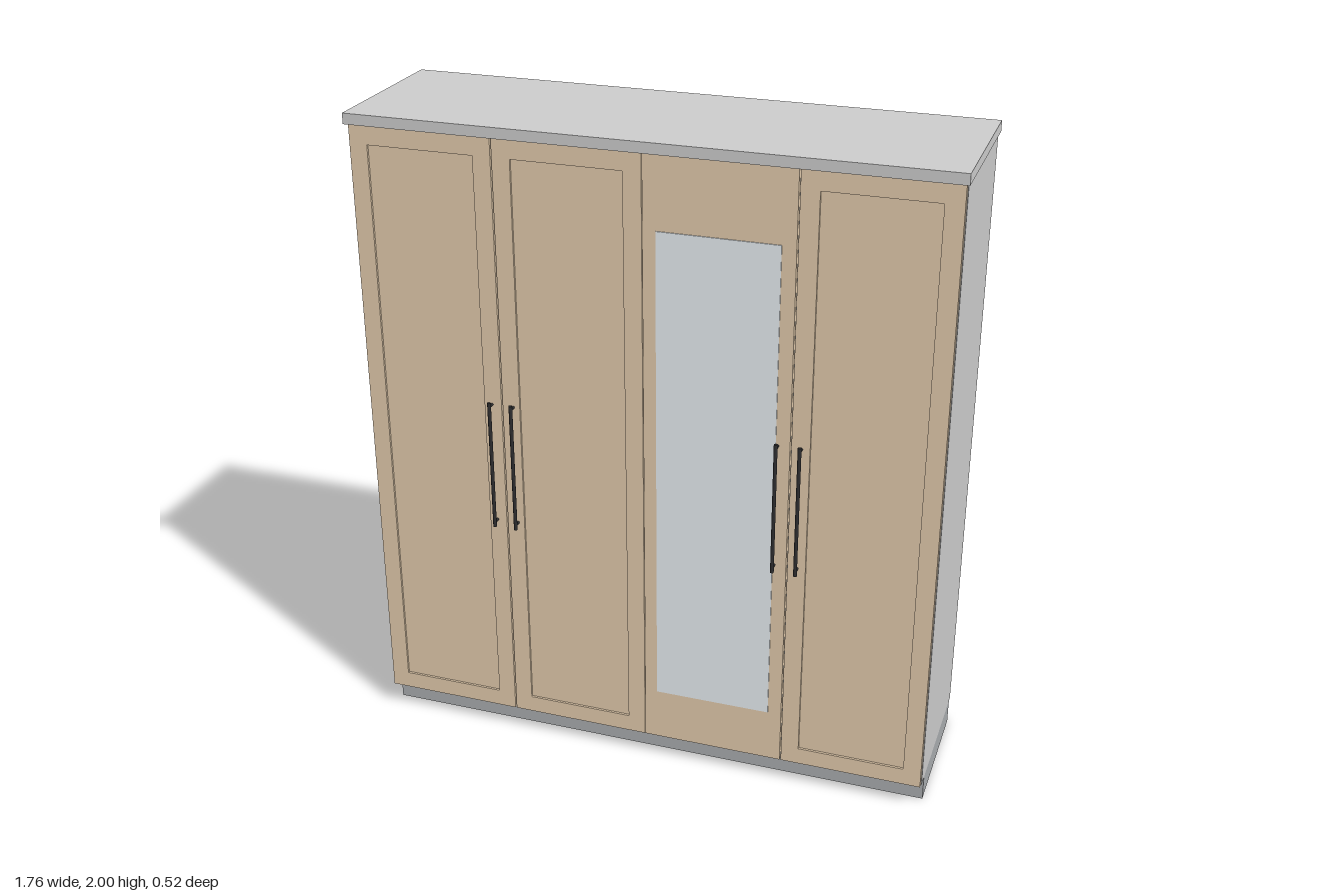
import * as THREE from 'three';

const material = (color) => new THREE.MeshStandardMaterial({ color });

export function createModel() {
  const model = new THREE.Group();
  model.name = 'wardrobe';
  const grey = material(0xcccccc);
  const plinthGrey = material(0xa8abae);
  const wood = material(0xe0c9ab);
  const glass = material(0xe6ecf0);
  const dark = material(0x2c2c2e);

  // Box given by its lower and upper corners
  function box(name, mat, [x0, y0, z0], [x1, y1, z1], parent = model) {
    const mesh = new THREE.Mesh(new THREE.BoxGeometry(x1 - x0, y1 - y0, z1 - z0), mat);
    mesh.position.set((x0 + x1) / 2, (y0 + y1) / 2, (z0 + z1) / 2);
    mesh.name = name;
    parent.add(mesh);
  }

  // Body
  box('plinth', plinthGrey, [-0.875, 0, -0.245], [0.875, 0.08, 0.18]);
  box('carcass', grey, [-0.875, 0.08, -0.262], [0.875, 1.968, 0.219]);
  box('topPanel', grey, [-0.882, 1.968, -0.262], [0.882, 2, 0.248]);

  // Doors: framed with a sunken panel, or flat with a mirror
  const bottom = 0.082, top = 1.964, back = 0.22, front = 0.235;
  const inset = 0.054, recess = 0.007;

  function framedDoor(name, x0, x1) {
    const door = new THREE.Group();
    door.name = name;
    const rect = (target, a, b, c, d) =>
      target.moveTo(a, b).lineTo(c, b).lineTo(c, d).lineTo(a, d).closePath();
    const shape = rect(new THREE.Shape(), x0, bottom, x1, top);
    shape.holes.push(rect(new THREE.Path(), x0 + inset, bottom + inset, x1 - inset, top - inset));
    const frame = new THREE.Mesh(
      new THREE.ExtrudeGeometry(shape, { depth: front - back, bevelEnabled: false }), wood);
    frame.position.z = back;
    frame.name = 'doorFrame';
    door.add(frame);
    box('doorPanel', wood, [x0 + inset, bottom + inset, back],
      [x1 - inset, top - inset, front - recess], door);
    model.add(door);
  }

  framedDoor('outerRightDoor', -0.873, -0.442);
  framedDoor('innerRightDoor', -0.438, -0.001);
  box('mirrorDoor', wood, [0.001, bottom, back], [0.436, top, front]);
  box('mirror', glass, [0.04, 0.25, front - 0.002], [0.395, 1.75, front + 0.003]);
  framedDoor('outerLeftDoor', 0.44, 0.873);

  // Bar handles, each on two short posts
  const barZ = 0.257;
  const barGeometry = new THREE.CylinderGeometry(0.0055, 0.0055, 0.414, 16);
  const postGeometry = new THREE.CylinderGeometry(0.004, 0.004, barZ - front, 12).rotateX(Math.PI / 2);
  for (const x of [-0.472, -0.404, 0.4, 0.469]) {
    const handle = new THREE.Group();
    handle.name = 'handle';
    const bar = new THREE.Mesh(barGeometry, dark);
    bar.name = 'handleBar';
    bar.position.set(x, 0.962, barZ);
    handle.add(bar);
    for (const y of [0.769, 1.155]) {
      const post = new THREE.Mesh(postGeometry, dark);
      post.name = 'handlePost';
      post.position.set(x, y, (barZ + front) / 2);
      handle.add(post);
    }
    model.add(handle);
  }

  return model;
}
